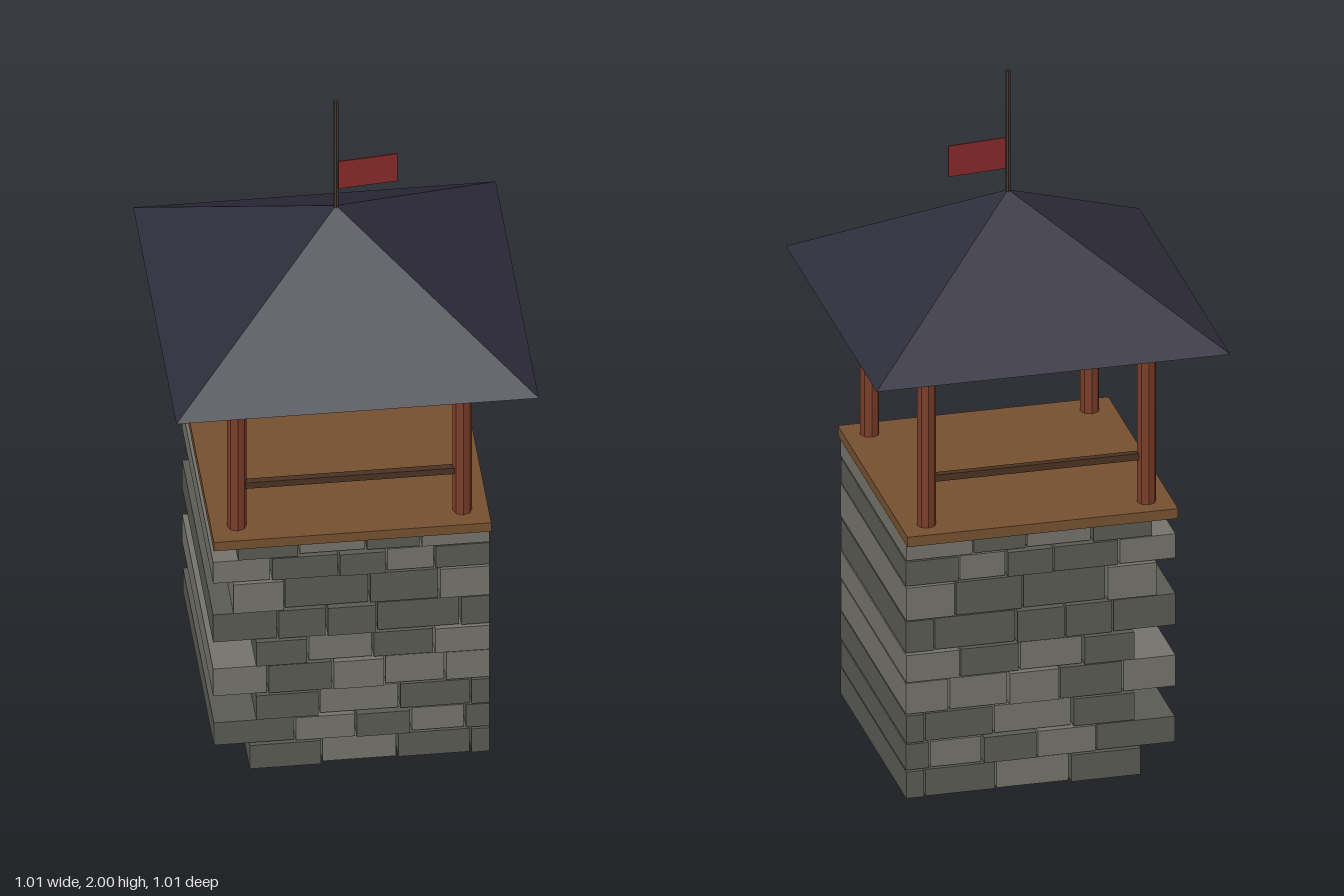
import * as THREE from 'three';

const mat = (color) => new THREE.MeshStandardMaterial({ color, flatShading: true });

export function createModel() {
  const model = new THREE.Group();
  const darkStone = mat(0x5a5a54), lightStone = mat(0x74736a);
  const plank = mat(0x75502f), timber = mat(0x7a3d29), railWood = mat(0x4a3222);
  const slate = mat(0x2e2d3b), metal = mat(0x463830), cloth = mat(0x882a2a);

  const add = (parent, name, geometry, material, x, y, z) => {
    const mesh = new THREE.Mesh(geometry, material);
    mesh.name = name;
    mesh.position.set(x, y, z);
    parent.add(mesh);
    return mesh;
  };

  // Stone courses: [bottom, top, left edges of the blocks, tone per block (d dark, l light)]
  const courses = [
    [0.00, 0.08, [-0.283, -0.08, 0.13, 0.333], 'dldd'],
    [0.084, 0.161, [-0.382, -0.155, 0.014, 0.168, 0.318], 'dldld'],
    [0.167, 0.249, [-0.265, -0.087, 0.136, 0.333], 'dldd'],
    [0.253, 0.346, [-0.384, -0.23, -0.05, 0.095, 0.263], 'ldlll'],
    [0.35, 0.432, [-0.265, -0.118, 0.062, 0.232], 'dldl'],
    [0.438, 0.532, [-0.384, -0.202, -0.066, 0.073, 0.305], 'ddddd'],
    [0.537, 0.636, [-0.328, -0.184, 0.053, 0.246], 'lddl'],
    [0.64, 0.713, [-0.384, -0.22, -0.033, 0.1, 0.234], 'lddld'],
    [0.719, 0.772, [-0.315, -0.143, 0.043, 0.195], 'dldl'],
  ];
  const tower = new THREE.Group();
  tower.name = 'stoneBase';
  courses.forEach(([bottom, top, edges, tones], row) => {
    edges.forEach((left, i) => {
      const right = i + 1 < edges.length ? edges[i + 1] - 0.006 : 0.383;
      const depth = 0.735 - 0.008 * ((row * 2 + i * 3) % 4);
      add(tower, 'stoneBlock', new THREE.BoxGeometry(right - left, top - bottom, depth),
        tones[i] === 'd' ? darkStone : lightStone, (left + right) / 2, (bottom + top) / 2, 0);
    });
  });
  model.add(tower);

  // Wooden deck
  add(model, 'deck', new THREE.BoxGeometry(0.77, 0.03, 0.77), plank, 0, 0.785, 0);

  // Corner posts, with rails along the front and back
  const postGeometry = new THREE.CylinderGeometry(0.027, 0.027, 0.508, 8);
  const railGeometry = new THREE.BoxGeometry(0.6, 0.02, 0.02);
  for (const z of [-0.313, 0.313]) {
    for (const x of [-0.313, 0.313]) add(model, 'post', postGeometry, timber, x, 1.053, z);
    add(model, 'rail', railGeometry, railWood, 0, 0.94, z);
  }

  // Pyramid roof
  const roof = new THREE.ConeGeometry(0.503 * Math.SQRT2, 0.335, 4);
  roof.rotateY(Math.PI / 4);
  add(model, 'roof', roof, slate, 0, 1.4725, 0);

  // Flagpole and flag
  add(model, 'flagpole', new THREE.CylinderGeometry(0.007, 0.007, 0.38, 6), metal, 0, 1.81, 0);
  const flag = add(model, 'flag', new THREE.BoxGeometry(0.167, 0.093, 0.004), cloth, 0.089, 1.749, -0.002);
  flag.rotation.y = 0.1;

  return model;
}
